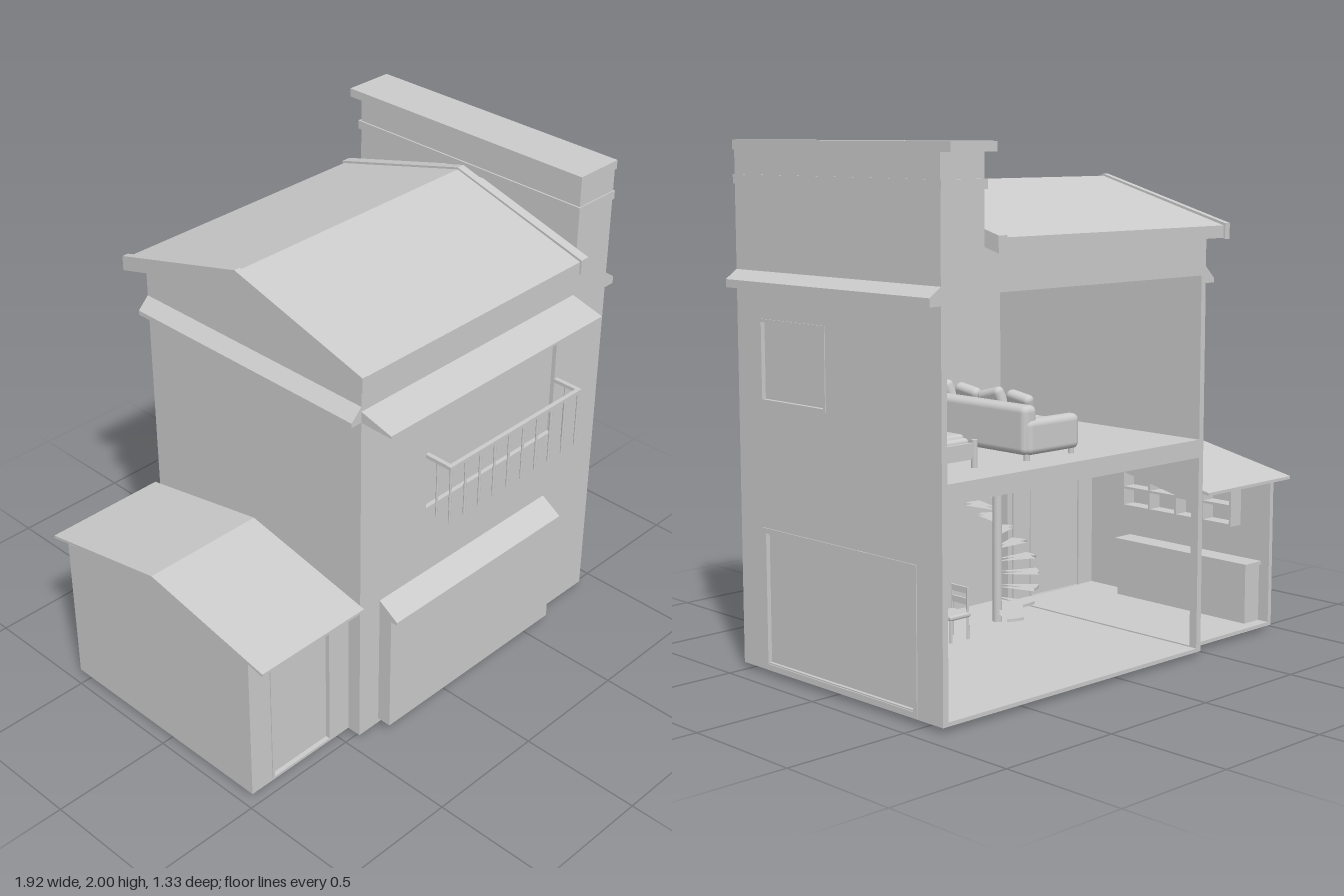
import * as THREE from 'three';
import { RoundedBoxGeometry } from 'three/addons/geometries/RoundedBoxGeometry.js';

const mat = new THREE.MeshStandardMaterial({ color: 0xcccccc, side: THREE.DoubleSide });

export function createModel() {
  const house = new THREE.Group();
  house.name = 'house';

  const add = (name, geo, parent = house) => {
    const m = new THREE.Mesh(geo, mat);
    m.name = name;
    parent.add(m);
    return m;
  };
  // Box given by its minimum and maximum corners
  const box = (name, x0, x1, y0, y1, z0, z1, parent) =>
    add(name, new THREE.BoxGeometry(x1 - x0, y1 - y0, z1 - z0)
      .translate((x0 + x1) / 2, (y0 + y1) / 2, (z0 + z1) / 2), parent);
  const soft = (name, x0, x1, y0, y1, z0, z1, r, parent) =>
    add(name, new RoundedBoxGeometry(x1 - x0, y1 - y0, z1 - z0, 3, r)
      .translate((x0 + x1) / 2, (y0 + y1) / 2, (z0 + z1) / 2), parent);
  const rod = (name, x, y0, y1, z, r, parent) =>
    add(name, new THREE.CylinderGeometry(r, r, y1 - y0, 12).translate(x, (y0 + y1) / 2, z), parent);
  const group = (name) => {
    const g = new THREE.Group();
    g.name = name;
    house.add(g);
    return g;
  };

  const vec = (pts) => pts.map(([a, b]) => new THREE.Vector2(a, b));
  const rect = (a0, a1, b0, b1) => [[a0, b0], [a1, b0], [a1, b1], [a0, b1]];
  const extrude = (pts, holes, depth) => {
    const s = new THREE.Shape(vec(pts));
    holes.forEach((h) => s.holes.push(new THREE.Path(vec(h))));
    return new THREE.ExtrudeGeometry(s, { depth, bevelEnabled: false });
  };
  // Outline in (x, y) swept along z, or outline in (z, y) swept along x
  const alongZ = (name, pts, z0, z1, holes = []) =>
    add(name, extrude(pts, holes, z1 - z0).translate(0, 0, z0));
  const alongX = (name, pts, x0, x1, holes = []) =>
    add(name, extrude(pts, holes, x1 - x0).rotateY(-Math.PI / 2).translate(x1, 0, 0));

  const MID = -0.0425; // z of both ridges
  const roof = (name, x0, x1, half, eave, ridge, t) => alongX(name, [
    [MID - half, eave], [MID, ridge - t], [MID + half, eave],
    [MID + half, eave + t], [MID, ridge], [MID - half, eave + t]], x0, x1);

  // Floors and the closed attic
  box('groundFloor', -0.45, 0.91, 0.02, 0.035, -0.6, 0.525);
  box('upperFloor', -0.45, 0.91, 0.79, 0.86, -0.6, 0.525);
  box('attic', -0.45, 0.91, 1.49, 1.64, -0.6, 0.525);
  alongX('atticGable', [[-0.6, 1.63], [0.525, 1.63], [0.525, 1.65], [MID, 1.82], [-0.6, 1.65]], -0.45, 0.71);

  // Main walls; the back stays open
  alongZ('frontWall', rect(-0.45, 0.91, 0.02, 1.49), 0.495, 0.525, [rect(-0.1, 0.63, 0.92, 1.39)]);
  box('balconyDoor', -0.1, 0.63, 0.92, 1.39, 0.498, 0.507);
  alongX('rightWall', rect(-0.6, 0.525, 0.02, 1.49), 0.885, 0.91,
    [rect(-0.45, 0.37, 0.05, 0.55), rect(0.02, 0.38, 1.05, 1.34)]);
  alongX('leftWall', rect(-0.6, 0.525, 0.02, 1.49), -0.45, -0.425,
    [[[-0.565, 0.04], [0.45, 0.04], [0.45, 0.61], [MID, 0.72], [-0.565, 0.61]]]);

  // Right side door and window: frame through the wall with a recessed panel
  const sideOpening = (name, z0, z1, y0, y1, w) => {
    alongX(name + 'Frame', rect(z0, z1, y0, y1), 0.872, 0.914, [rect(z0 + w, z1 - w, y0 + w, y1 - w)]);
    box(name + 'Panel', 0.89, 0.897, y0 + w, y1 - w, z0 + w, z1 - w);
  };
  sideOpening('sideDoor', -0.47, 0.39, 0.025, 0.567, 0.02);
  sideOpening('sideWindow', 0.01, 0.39, 1.04, 1.35, 0.012);

  // Front bay and its canopy
  box('frontBay', -0.345, 0.61, 0.04, 0.56, 0.51, 0.585);
  alongX('bayCanopy', [[0.52, 0.55], [0.615, 0.553], [0.615, 0.565], [0.525, 0.622]], -0.345, 0.61);

  // Awnings on three sides
  alongX('frontAwning', [[0.52, 1.46], [0.667, 1.458], [0.667, 1.468], [0.525, 1.505]], -0.45, 0.71);
  alongZ('rightAwning', [[0.9, 1.46], [0.96, 1.46], [0.96, 1.49], [0.91, 1.525]], -0.6, 0.525);
  alongZ('leftAwning', [[-0.44, 1.46], [-0.44, 1.525], [-0.45, 1.525], [-0.498, 1.478], [-0.498, 1.46]], -0.6, 0.525);

  // Main roof with raised edge boards
  roof('mainRoof', -0.5, 0.705, 0.6175, 1.633, 1.855, 0.047);
  roof('roofEdgeLeft', -0.505, -0.478, 0.625, 1.628, 1.863, 0.06);
  roof('roofEdgeRight', 0.67, 0.71, 0.625, 1.628, 1.863, 0.06);

  // Parapet tower on the right
  box('tower', 0.71, 0.91, 1.6, 1.99, -0.6, 0.525);
  box('towerMoulding', 0.703, 0.915, 1.84, 1.875, -0.61, 0.53);
  box('towerCap', 0.703, 0.915, 1.965, 2.0, -0.655, 0.53);

  // Balcony railing
  const rail = group('balconyRailing');
  box('frontRail', -0.11, 0.645, 1.15, 1.165, 0.63, 0.648, rail);
  for (const x of [-0.1, 0.637]) {
    box('sideRail', x - 0.009, x + 0.009, 1.15, 1.165, 0.52, 0.64, rail);
    rod('sideBaluster', x, 0.91, 1.155, 0.577, 0.005, rail);
  }
  for (let i = 0; i < 10; i++) rod('baluster', -0.098 + i * 0.0817, 0.91, 1.155, 0.639, 0.005, rail);

  // Annexe with a gable roof, open at the back
  const [AZ0, AZ1] = [-0.55, 0.465];
  box('annexeFloor', -0.96, -0.45, 0.02, 0.035, AZ0, AZ1);
  alongX('annexeSideWall', [[AZ0, 0.02], [AZ1, 0.02], [AZ1, 0.65], [MID, 0.762], [AZ0, 0.65]], -0.96, -0.94);
  alongZ('annexeFrontWall', rect(-0.96, -0.45, 0.02, 0.655), AZ1 - 0.025, AZ1, [rect(-0.85, -0.555, 0.035, 0.555)]);
  alongZ('annexeDoorFrame', rect(-0.857, -0.548, 0.03, 0.562), AZ1 - 0.03, AZ1 + 0.004, [rect(-0.848, -0.557, 0.037, 0.553)]);
  box('annexeDoor', -0.85, -0.555, 0.035, 0.555, AZ1 - 0.022, AZ1 - 0.015);
  roof('annexeRoof', -0.965, -0.45, 0.5875, 0.64, 0.77, 0.012);

  // Kitchen units along the annexe wall
  const kitchen = group('kitchenUnits');
  box('counter', -0.94, -0.85, 0.035, 0.27, -0.5, 0.2, kitchen);
  box('worktop', -0.94, -0.84, 0.27, 0.285, -0.51, 0.21, kitchen);
  for (const y of [0.42, 0.5, 0.59]) box('shelf', -0.94, -0.875, y, y + 0.01, -0.4, 0.2, kitchen);
  for (let i = 0; i < 5; i++) {
    const z = -0.4 + i * 0.1475;
    box('shelfDivider', -0.94, -0.875, 0.42, 0.6, z, z + 0.01, kitchen);
  }

  // Spiral stair; its pole passes through the ground floor
  const stair = group('spiralStair');
  stair.position.set(-0.16, 0, 0.24);
  rod('pole', 0, 0, 0.85, 0, 0.02, stair);
  for (let i = 0; i < 14; i++) {
    const tread = add('tread', new THREE.CylinderGeometry(0.17, 0.17, 0.012, 6, 1, false, 0, 0.45), stair);
    tread.position.y = 0.08 + i * 0.053;
    tread.rotation.y = 2.6 + i * 0.42;
  }

  // Dining table and chairs
  const table = group('diningTable');
  box('tableTop', 0.37, 0.62, 0.18, 0.195, 0.06, 0.47, table);
  for (const x of [0.39, 0.6]) for (const z of [0.08, 0.45]) box('tableLeg', x - 0.01, x + 0.01, 0.035, 0.18, z - 0.01, z + 0.01, table);
  const chair = (x, z, turn) => {
    const g = group('chair');
    g.position.set(x, 0.035, z);
    g.rotation.y = turn;
    soft('seat', -0.055, 0.055, 0.09, 0.11, -0.055, 0.055, 0.008, g);
    for (const a of [-0.045, 0.045]) {
      rod('frontLeg', a, 0, 0.095, 0.045, 0.006, g);
      rod('backLeg', a, 0, 0.21, -0.045, 0.006, g);
    }
    for (const y of [0.14, 0.185]) box('backSlat', -0.045, 0.045, y, y + 0.025, -0.05, -0.04, g);
  };
  chair(0.16, 0.17, Math.PI / 2);
  chair(0.73, 0.29, -Math.PI / 2);

  // Beds
  const bed = (x0, x1, z0, z1) => {
    const g = group('bed');
    const y = 0.86;
    box('bedFrame', x0, x1, y + 0.03, y + 0.065, z0, z1, g);
    soft('mattress', x0 + 0.01, x1 - 0.01, y + 0.06, y + 0.105, z0 + 0.01, z1 - 0.01, 0.015, g);
    soft('blanket', x0 + 0.005, x1 - 0.005, y + 0.07, y + 0.115, z0 + 0.04, z0 + (z1 - z0) * 0.6, 0.015, g);
    soft('pillow', x0 + 0.04, x1 - 0.04, y + 0.1, y + 0.13, z1 - 0.11, z1 - 0.02, 0.014, g);
    for (const [z, h] of [[z0, 0.1], [z1, 0.17]]) {
      box('endBoard', x0, x1, y + 0.04, y + h - 0.01, z - 0.008, z + 0.008, g);
      for (const x of [x0, x1]) rod('bedPost', x, y, y + h, z, 0.012, g);
    }
  };
  bed(0.6, 0.84, -0.43, 0.03);
  bed(0.42, 0.62, 0.1, 0.46);

  // Sofa facing the left wall
  const sofa = group('sofa');
  soft('sofaBase', 0.12, 0.38, 0.88, 0.95, -0.48, 0.17, 0.015, sofa);
  soft('sofaBack', 0.33, 0.4, 0.88, 1.06, -0.48, 0.17, 0.025, sofa);
  for (const z of [-0.49, 0.12]) soft('sofaArm', 0.12, 0.39, 0.88, 1.01, z, z + 0.06, 0.025, sofa);
  for (const x of [0.14, 0.37]) for (const z of [-0.46, 0.15]) rod('sofaFoot', x, 0.86, 0.89, z, 0.012, sofa);
  for (let i = 0; i < 4; i++) {
    const z = -0.428 + i * 0.137;
    soft('seatCushion', 0.115, 0.33, 0.945, 0.98, z, z + 0.135, 0.015, sofa);
    const c = add('cushion', new RoundedBoxGeometry(0.045, 0.12, 0.12, 3, 0.02), sofa);
    c.position.set(0.3, 1.035, z + 0.067);
    c.rotation.set(i % 2 ? 0.25 : -0.15, 0, -0.3);
  }

  return house;
}
